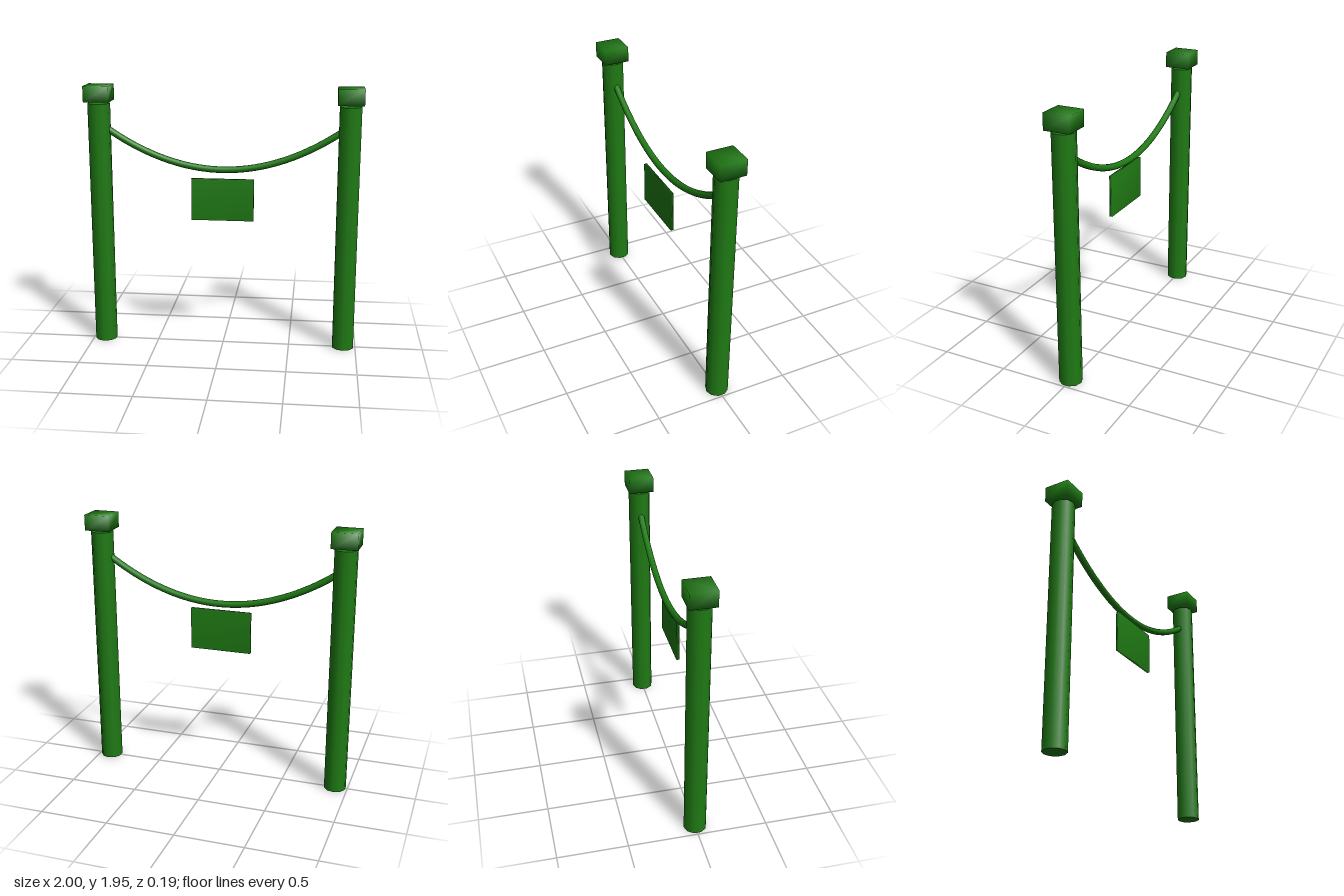
import * as THREE from 'three';
import { mergeVertices } from 'three/addons/utils/BufferGeometryUtils.js';

const material = new THREE.MeshStandardMaterial({ color: 0x1f7a14 });

// Box whose corners share one normal, for soft shading across the faces
function softBox(w, h, d) {
  const box = new THREE.BoxGeometry(w, h, d);
  box.deleteAttribute('normal');
  box.deleteAttribute('uv');
  const soft = mergeVertices(box);
  soft.computeVertexNormals();
  return soft;
}

export function createModel() {
  const model = new THREE.Group();
  const add = (name, geometry, x, y, z) => {
    const mesh = new THREE.Mesh(geometry, material);
    mesh.name = name;
    mesh.position.set(x, y, z);
    model.add(mesh);
  };

  // Pair of round posts, each with a square cap floating just above it
  const postHeight = 1.817;
  const post = new THREE.CylinderGeometry(0.082, 0.082, postHeight, 10);
  const cap = softBox(0.186, 0.115, 0.186);
  for (const [side, s] of [['left', 1], ['right', -1]]) {
    add(side + 'Post', post, s * 0.907, postHeight / 2, 0);
    add(side + 'Cap', cap, s * 0.907, 1.89, 0);
  }

  // Sagging rope between the posts
  const points = [];
  for (let i = 0; i <= 16; i++) {
    const x = -0.845 + (1.69 * i) / 16;
    points.push(new THREE.Vector3(x, 1.343 + 0.4 * x * x, 0));
  }
  const rope = new THREE.TubeGeometry(new THREE.CatmullRomCurve3(points), 40, 0.024, 10);
  add('rope', rope, 0, 0, 0);

  // Discs closing the two rope ends
  for (const s of [1, -1]) {
    const end = new THREE.CircleGeometry(0.024, 10);
    end.rotateY((s * Math.PI) / 2);
    end.rotateZ(s * Math.atan(0.8 * 0.845));
    add('ropeEnd', end, s * 0.845, points[0].y, 0);
  }

  // Thin sign board hanging in front of the rope
  add('signBoard', softBox(0.456, 0.31, 0.022), 0, 1.127, 0.036);

  return model;
}
